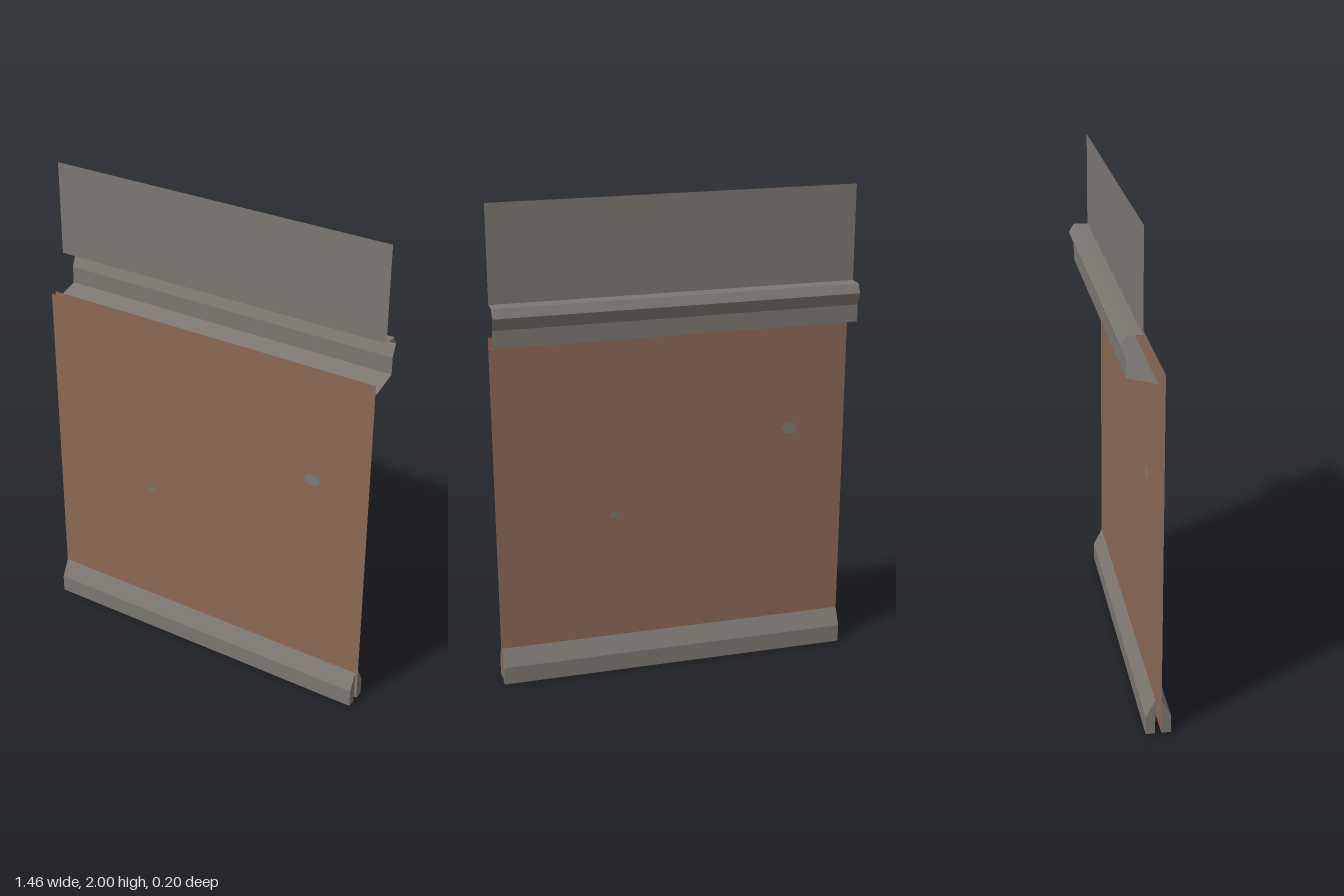
import * as THREE from 'three';

const LENGTH = 1.46;

const material = (name, color) => {
  const m = new THREE.MeshStandardMaterial({ color, side: THREE.DoubleSide });
  m.name = name;
  return m;
};

// Sweeps an open [z, y] profile along x as flat, separate strips
function stripGeometry(profile, length) {
  const h = length / 2, pos = [];
  for (let i = 0; i < profile.length - 1; i++) {
    const [z0, y0] = profile[i], [z1, y1] = profile[i + 1];
    pos.push(-h, y0, z0, -h, y1, z1, h, y1, z1, -h, y0, z0, h, y1, z1, h, y0, z0);
  }
  const g = new THREE.BufferGeometry();
  g.setAttribute('position', new THREE.Float32BufferAttribute(pos, 3));
  g.computeVertexNormals();
  return g;
}

function add(parent, name, geometry, mat, x = 0, y = 0, z = 0) {
  const mesh = new THREE.Mesh(geometry, mat);
  mesh.name = name;
  mesh.position.set(x, y, z);
  parent.add(mesh);
  return mesh;
}

export function createModel() {
  const model = new THREE.Group();
  model.name = 'wallSection';
  const brown = material('brown board', 0x8c6955);
  const grey = material('warm grey trim', 0x7c7771);
  const patchGrey = material('patch grey', 0x7a7a76);

  // Baseboard: chamfered section, extruded along x
  const section = new THREE.Shape();
  [[0, 0], [0.037, 0], [0.037, 0.075], [0, 0.146]].forEach(([z, y], i) =>
    i ? section.lineTo(-z, y) : section.moveTo(-z, y));
  const baseboard = new THREE.ExtrudeGeometry(section, { depth: LENGTH, bevelEnabled: false });
  baseboard.translate(0, 0, -LENGTH / 2).rotateY(Math.PI / 2);

  // Two identical wall faces, back to back
  const boardHeight = 1.465;
  const board = new THREE.PlaneGeometry(LENGTH, boardHeight);
  for (const [name, turn] of [['frontWall', 0], ['backWall', Math.PI]]) {
    const wall = new THREE.Group();
    wall.name = name;
    wall.position.set(-0.002, 0, 0.048);
    wall.rotation.y = turn;
    add(wall, 'board', board, brown, 0, boardHeight / 2, 0.012);
    add(wall, 'baseboard', baseboard, grey, 0, 0, 0.012).rotation.y = 0;
    // Small worn patches on the board
    for (const [x, y, rx, ry] of [[0.497, 0.993, 0.037, 0.026], [-0.253, 0.69, 0.018, 0.013]]) {
      add(wall, 'wornPatch', new THREE.CircleGeometry(1, 6), patchGrey, x, y, 0.0135).scale.set(rx, ry, 1);
    }
    model.add(wall);
  }

  // Folded cornice with the upright sheet above it
  const cornice = [[-0.02, 2], [-0.02, 1.615], [-0.08, 1.615], [-0.1, 1.58],
    [-0.08, 1.53], [-0.08, 1.46], [0.035, 1.43]];
  add(model, 'upperSheet', stripGeometry(cornice.slice(0, 2), LENGTH), grey, 0.002);
  add(model, 'cornice', stripGeometry(cornice.slice(1), LENGTH), grey, 0.002);
  return model;
}
